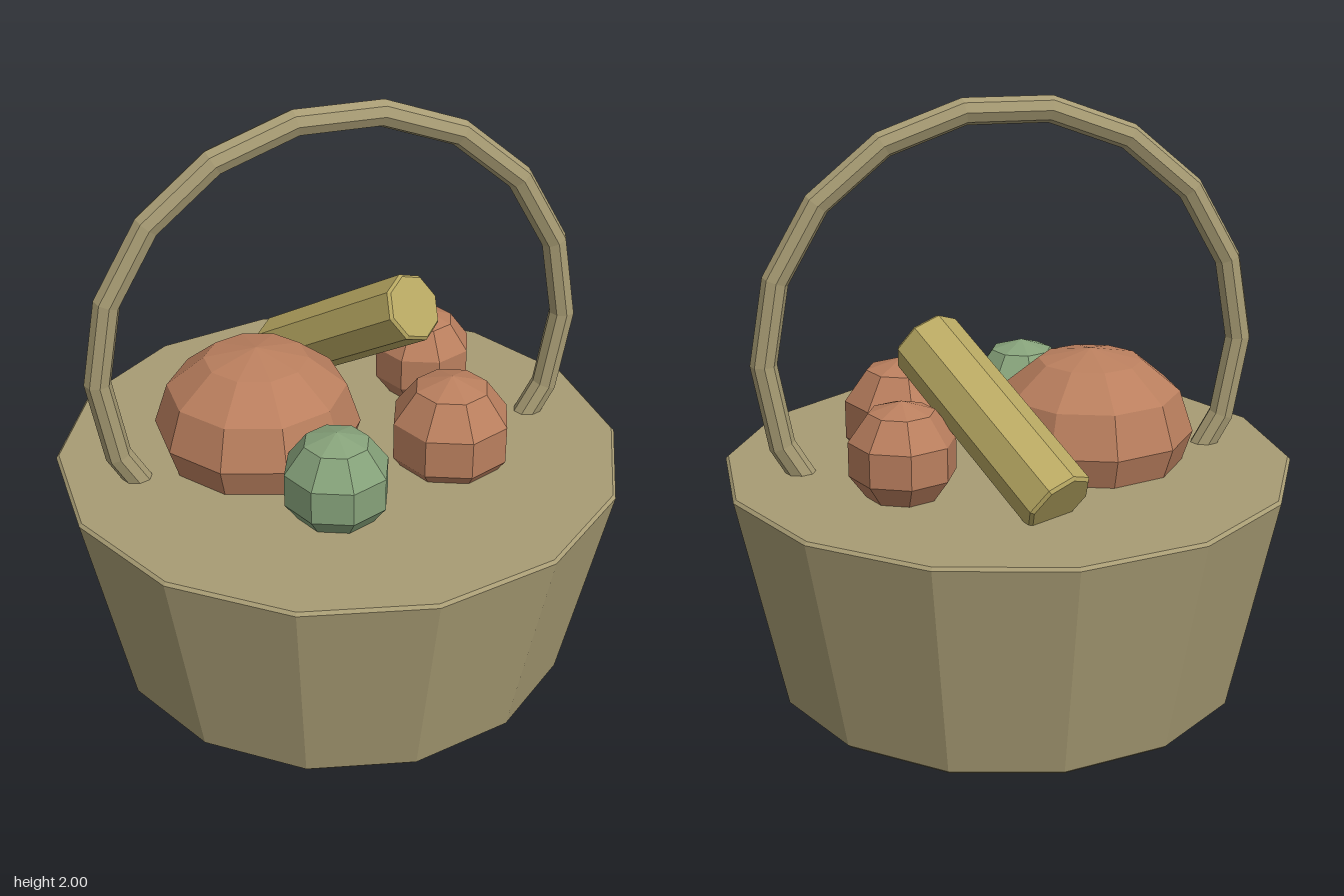
import * as THREE from 'three';

const paint = (color) => new THREE.MeshStandardMaterial({ color, flatShading: true });

export function createModel() {
  const model = new THREE.Group();
  const wicker = paint(0xa89c74);
  const orange = paint(0xba7f5e);
  const green = paint(0x86a27a);
  const crust = paint(0xb8a862);

  const add = (name, geometry, material, x = 0, y = 0, z = 0) => {
    const mesh = new THREE.Mesh(geometry, material);
    mesh.name = name;
    mesh.position.set(x, y, z);
    model.add(mesh);
    return mesh;
  };

  // Closed, tapered solid with a small chamfer on both rims
  const chamferedDrum = (rBottom, rTop, y0, y1, sides, c = 0.01) =>
    new THREE.LatheGeometry([
      [0, y0], [rBottom - c, y0], [rBottom, y0 + c],
      [rTop, y1 - c], [rTop - c, y1], [0, y1],
    ].map(([r, y]) => new THREE.Vector2(r, y)), sides);

  // Basket body with its flat top
  add('basket', chamferedDrum(0.818, 0.975, 0, 0.77, 14), wicker);

  // Hoop handle, its ends sunk into the basket
  const arc = THREE.MathUtils.degToRad(260);
  const hoop = new THREE.TorusGeometry(0.82, 0.045, 8, 13, arc);
  hoop.rotateZ(Math.PI / 2 - arc / 2);
  add('handle', hoop, wicker, 0, 1.15, 0);

  // Large squashed fruit
  const large = new THREE.SphereGeometry(0.353, 10, 6);
  large.rotateY(Math.PI / 2);
  large.scale(1, 0.81, 1);
  add('largeFruit', large, orange, -0.273, 0.873, -0.06);

  // Small round fruits
  [
    ['greenFruit', green, 0.185, -0.14, 0.885, 0.402],
    ['frontFruit', orange, 0.215, 0.328, 0.873, 0.211],
    ['backFruit', orange, 0.185, 0.408, 0.902, -0.275],
  ].forEach(([name, material, r, x, y, z]) =>
    add(name, new THREE.SphereGeometry(r, 8, 5), material, x, y, z));

  // Bread stick leaning out of the basket
  const low = new THREE.Vector3(-0.03, 0.825, -0.615);
  const high = new THREE.Vector3(0.293, 1.22, -0.06);
  const d = high.clone().sub(low);
  const length = d.length();
  const bread = add('bread', chamferedDrum(0.122, 0.122, 0, length, 8), crust, low.x, low.y, low.z);
  bread.rotation.set(Math.acos(d.y / length), Math.atan2(d.x, d.z), 0, 'YXZ');

  return model;
}
